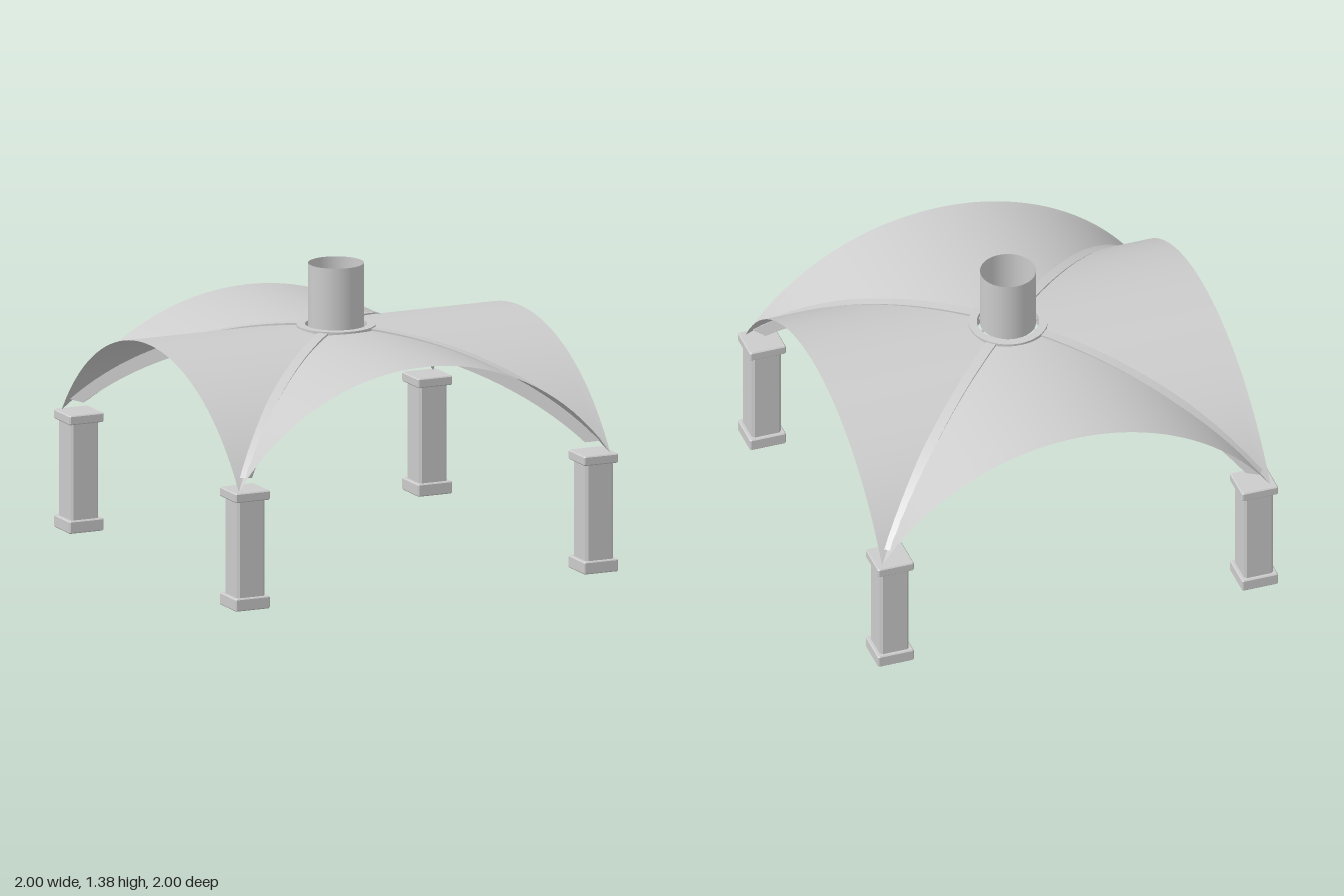
import * as THREE from 'three';
import { toCreasedNormals } from 'three/addons/utils/BufferGeometryUtils.js';

const HALF = 0.97, CROWN = 1.08, RADIUS = 1.177;
// height of the circular vault arch at distance d from its crown line
const arch = (d) => CROWN - RADIUS + Math.sqrt(RADIUS * RADIUS - d * d);

const grey = new THREE.MeshStandardMaterial({ color: 0xcccccc });
const greyThin = new THREE.MeshStandardMaterial({ color: 0xcccccc, side: THREE.DoubleSide });

function add(parent, name, geometry, material = grey) {
  const mesh = new THREE.Mesh(geometry, material);
  mesh.name = name;
  parent.add(mesh);
  return mesh;
}

// one quarter of the groin vault, trimmed round the central opening
function vaultPanel(hole) {
  const nu = 40, ns = 16, pos = [], idx = [];
  for (let i = 0; i <= nu; i++) {
    const u = -1 + (2 * i) / nu;
    const s0 = hole / Math.hypot(1, u);
    for (let j = 0; j <= ns; j++) {
      const s = s0 + ((HALF - s0) * j) / ns;
      pos.push(u * s, arch(u * s), s);
      if (i < nu && j < ns) {
        const a = i * (ns + 1) + j, b = a + ns + 1;
        idx.push(a, a + 1, b, b, a + 1, b + 1);
      }
    }
  }
  const g = new THREE.BufferGeometry();
  g.setAttribute('position', new THREE.Float32BufferAttribute(pos, 3));
  g.setIndex(idx);
  g.computeVertexNormals();
  return g;
}

// curved rib, drawn in its own vertical plane and extruded to its width
function ribGeometry(width) {
  const n = 28, top = [], bottom = [];
  for (let i = 0; i <= n; i++) {
    const t = i / n;
    const xt = 0.125 + (0.935 - 0.125) * t, xb = 0.125 + (0.887 - 0.125) * t;
    top.push(new THREE.Vector2(xt * Math.SQRT2, arch(xt) + 0.011));
    bottom.push(new THREE.Vector2(xb * Math.SQRT2, arch(xb) - 0.06));
  }
  const g = new THREE.ExtrudeGeometry(new THREE.Shape([...bottom, ...top.reverse()]),
    { depth: width, bevelEnabled: false });
  g.translate(0, 0, -width / 2);
  return toCreasedNormals(g, 0.5);
}

// upright square block with chamfered vertical edges and optional bevelled rims
function block(width, y0, y1, chamfer, rim = 0) {
  const h = width / 2 - rim, k = h - chamfer;
  const shape = new THREE.Shape([[h, -k], [h, k], [k, h], [-k, h], [-h, k], [-h, -k], [-k, -h], [k, -h]]
    .map(([x, y]) => new THREE.Vector2(x, y)));
  const g = new THREE.ExtrudeGeometry(shape, {
    depth: y1 - y0 - 2 * rim, bevelEnabled: rim > 0,
    bevelSize: rim, bevelThickness: rim, bevelSegments: 1,
  });
  g.rotateX(-Math.PI / 2);
  g.translate(0, y0 + rim, 0);
  return toCreasedNormals(g, 0.3);
}

function lathe(points) {
  const g = new THREE.LatheGeometry(points.map(([x, y]) => new THREE.Vector2(x, y)), 48);
  return toCreasedNormals(g, 0.6);
}

export function createModel() {
  const model = new THREE.Group();
  model.name = 'vaultedCanopy';

  // four corner columns
  const base = block(0.18, 0, 0.06, 0.003, 0.005);
  const shaft = block(0.146, 0.055, 0.53, 0.012);
  const cap = block(0.18, 0.525, 0.57, 0.003, 0.005);
  for (const sx of [-1, 1]) for (const sz of [-1, 1]) {
    const column = new THREE.Group();
    column.name = 'column';
    column.position.set(sx * 0.91, 0, sz * 0.91);
    add(column, 'columnBase', base);
    add(column, 'columnShaft', shaft);
    add(column, 'columnCap', cap);
    model.add(column);
  }

  // vault panels and the diagonal ribs beneath their creases
  const panel = vaultPanel(0.165), rib = ribGeometry(0.05);
  for (let q = 0; q < 4; q++) {
    add(model, 'vaultPanel', panel, greyThin).rotation.y = (q * Math.PI) / 2;
    add(model, 'diagonalRib', rib).rotation.y = Math.PI / 4 + (q * Math.PI) / 2;
  }

  // crown ring round the opening
  add(model, 'crownRing', lathe([[0.147, 1.03], [0.187, 1.03], [0.187, 1.09], [0.147, 1.09], [0.147, 1.03]]));

  // open chimney tube
  const flue = new THREE.CylinderGeometry(0.132, 0.132, 0.305, 48, 1, true);
  flue.translate(0, 1.2325, 0);
  add(model, 'chimney', flue, greyThin);

  // grille across the opening
  const grille = new THREE.Group();
  grille.name = 'grille';
  grille.position.y = 1.065;
  model.add(grille);
  const bar = (offset, acrossX) => {
    const length = 2 * Math.sqrt(0.15 ** 2 - offset ** 2);
    const g = new THREE.CylinderGeometry(0.005, 0.005, length, 8);
    if (acrossX) g.rotateZ(Math.PI / 2).translate(0, 0, offset);
    else g.rotateX(Math.PI / 2).translate(offset, 0, 0);
    add(grille, 'grilleBar', g);
  };
  for (let i = -2; i <= 2; i++) bar(i * 0.053, false);
  for (let i = -1; i <= 1; i++) bar(i * 0.125, true);

  return model;
}
